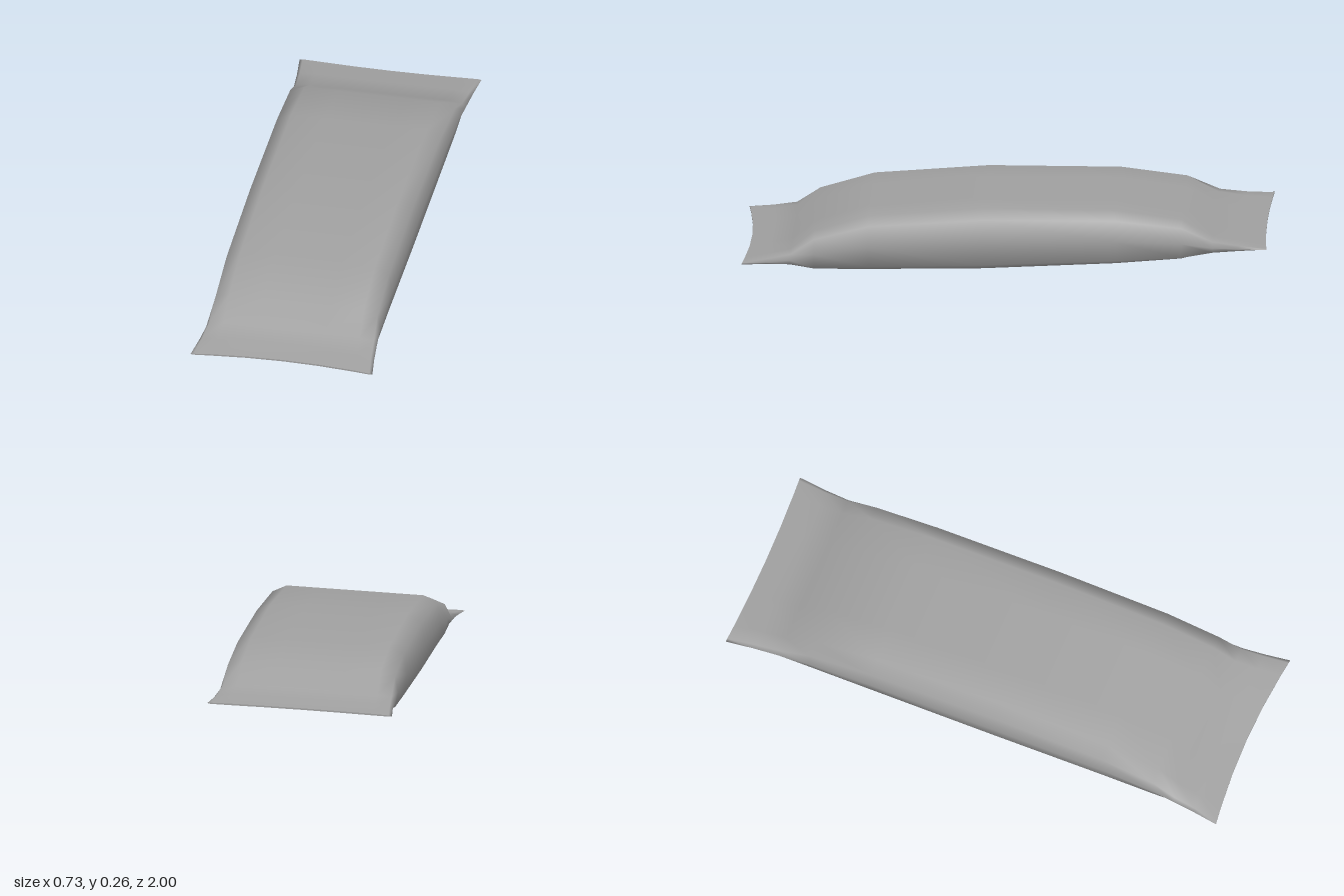
import * as THREE from 'three';

// Stations along the length: z, half width, bottom y, top y, bow of the end edge
const STATIONS = [
  [0.961, 0.354, 0.056, 0.062, 0.026],
  [0.88, 0.341, 0.051, 0.077, 0.015],
  [0.80, 0.332, 0.043, 0.095, 0.006],
  [0.715, 0.327, 0.013, 0.166, 0],
  [0.51, 0.327, 0.012, 0.226, 0],
  [0.08, 0.328, 0.016, 0.256, 0],
  [-0.42, 0.330, 0.038, 0.250, 0],
  [-0.67, 0.332, 0.058, 0.215, 0],
  [-0.785, 0.335, 0.093, 0.150, -0.004],
  [-0.88, 0.342, 0.106, 0.134, -0.008],
  [-0.982, 0.354, 0.118, 0.124, -0.012],
];

// Cross-section outline as fractions of half width and half height
const UPPER = [[1, 0], [0.965, 0.75], [0.8, 1], [0.4, 1], [0, 1], [-0.4, 1], [-0.8, 1], [-0.965, 0.75]];
const OUTLINE = [...UPPER, ...UPPER.map(([x, y]) => [-x, -y])];

function pillowGeometry() {
  const n = OUTLINE.length;
  const positions = [];
  const indices = [];

  for (const [z, w, bottom, top, bow] of STATIONS) {
    const mid = (bottom + top) / 2;
    const half = (top - bottom) / 2;
    for (const [u, v] of OUTLINE) {
      // slight yaw and sideways tilt of the whole packet
      const x = u * w - 0.003 + 0.012 * z;
      positions.push(x, mid + half * v + 0.030 * x, z + bow * u * u + 0.028 * x);
    }
  }

  // Skin between neighbouring sections
  for (let s = 0; s < STATIONS.length - 1; s++) {
    for (let i = 0; i < n; i++) {
      const j = (i + 1) % n;
      const a = s * n + i, b = s * n + j, c = a + n, d = b + n;
      indices.push(a, c, b, b, c, d);
    }
  }

  // Thin closing strips at both sealed ends, on their own vertices
  for (const [s, front] of [[0, true], [STATIONS.length - 1, false]]) {
    const base = positions.length / 3;
    for (let i = 0; i < n; i++) positions.push(...positions.slice((s * n + i) * 3, (s * n + i) * 3 + 3));
    for (let i = 0; i < n / 2; i++) {
      const a = base + i, b = base + i + 1, c = base + (n - i) % n, d = base + n - i - 1;
      if (front) indices.push(a, b, d, a, d, c);
      else indices.push(a, d, b, a, c, d);
    }
  }

  const geometry = new THREE.BufferGeometry();
  geometry.setAttribute('position', new THREE.Float32BufferAttribute(positions, 3));
  geometry.setIndex(indices);
  geometry.computeVertexNormals();
  return geometry;
}

export function createModel() {
  const group = new THREE.Group();
  group.name = 'wrappedBar';
  const material = new THREE.MeshStandardMaterial({ color: 0xa0a0a0, side: THREE.DoubleSide });
  const wrapper = new THREE.Mesh(pillowGeometry(), material);
  wrapper.name = 'wrapper';

  // Stand on the ground, centred
  wrapper.geometry.computeBoundingBox();
  const box = wrapper.geometry.boundingBox;
  const centre = box.getCenter(new THREE.Vector3());
  wrapper.position.set(-centre.x, -box.min.y, -centre.z);
  group.add(wrapper);
  return group;
}
